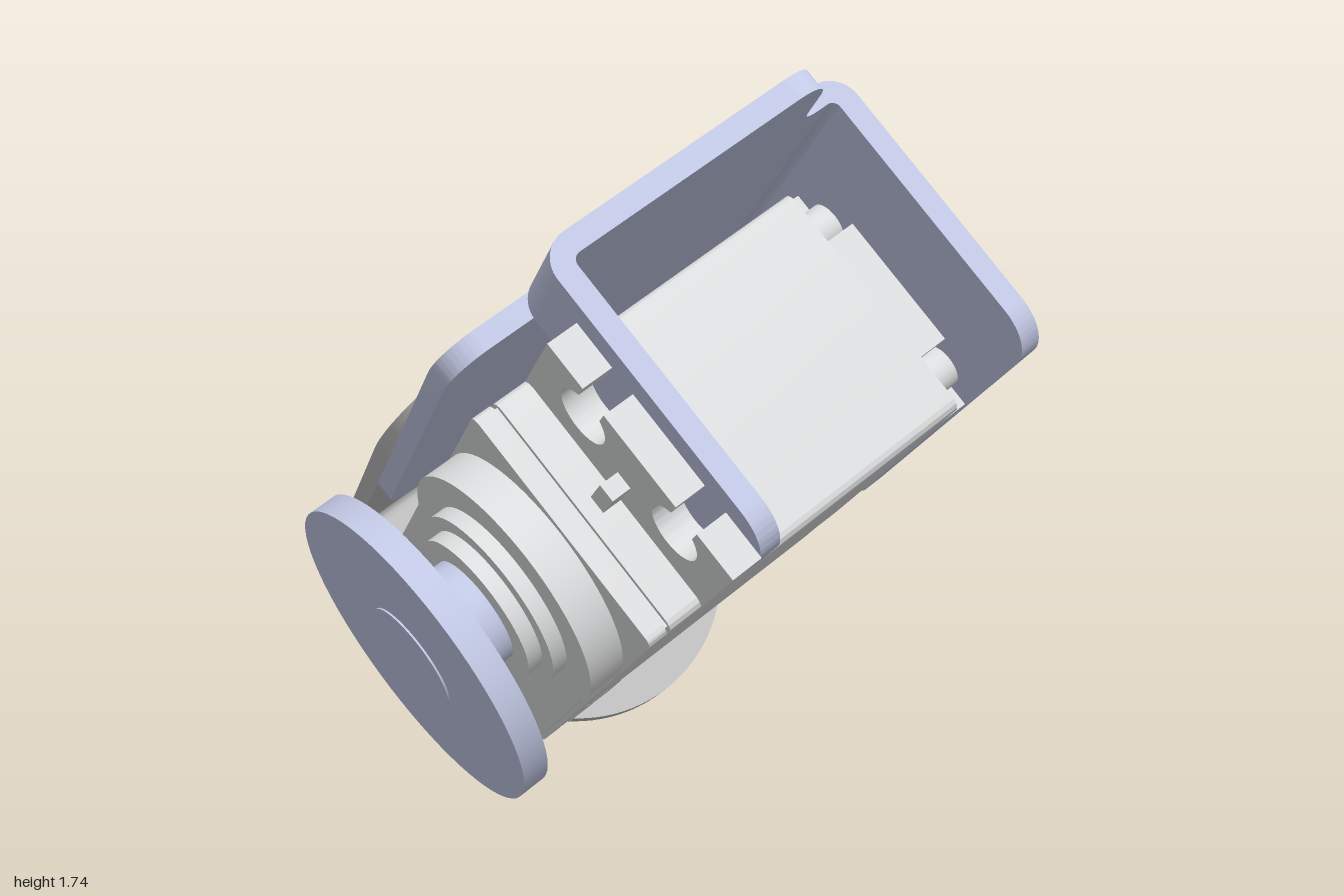
import * as THREE from 'three';
import { toCreasedNormals } from 'three/addons/utils/BufferGeometryUtils.js';

const mat = (name, color) => Object.assign(new THREE.MeshStandardMaterial({ color }), { name });

// Polygon from [x, y, cornerRadius] points
function roundedShape(points) {
  const s = new THREE.Shape();
  const n = points.length;
  const v = points.map(p => new THREE.Vector2(p[0], p[1]));
  for (let i = 0; i < n; i++) {
    const p = v[i], r = points[i][2] || 0;
    const toPrev = v[(i + n - 1) % n].clone().sub(p).normalize();
    const toNext = v[(i + 1) % n].clone().sub(p).normalize();
    const at = (d, k) => p.clone().addScaledVector(d, k);
    const a = at(toPrev, r), b = at(toNext, r);
    if (i === 0) s.moveTo(a.x, a.y); else s.lineTo(a.x, a.y);
    if (r) {
      const c = at(toPrev, r * 0.448), d = at(toNext, r * 0.448);
      s.bezierCurveTo(c.x, c.y, d.x, d.y, b.x, b.y);
    }
  }
  s.closePath();
  return s;
}

const rect = (x0, x1, y0, y1, r = 0) =>
  roundedShape([[x0, y0, r], [x1, y0, r], [x1, y1, r], [x0, y1, r]]);

// Quarter ring used for sheet metal bends
function bendShape(cx, cy, start, inner, outer) {
  const s = new THREE.Shape();
  s.absarc(cx, cy, outer, start, start + Math.PI / 2, false);
  s.absarc(cx, cy, inner, start + Math.PI / 2, start, true);
  s.closePath();
  return s;
}

// Sketch planes: X uses (y,z) and grows +x, Y uses (x,z) and grows -y, Z uses (x,y) and grows +z
const X = new THREE.Vector3(1, 0, 0), Y = new THREE.Vector3(0, 1, 0), Z = new THREE.Vector3(0, 0, 1);
const planes = {
  X: new THREE.Matrix4().makeBasis(Y, Z, X),
  Y: new THREE.Matrix4().makeBasis(X, Z, Y.clone().negate()),
  Z: new THREE.Matrix4(),
};

export function createModel() {
  const blue = mat('blueSheetMetal', 0xcad1ee);
  const grey = mat('greyMetal', 0xc0c0c0);
  const white = mat('paleCasing', 0xdfe0e1);
  const device = new THREE.Group();
  device.name = 'tiltedServoAssembly';

  const add = (name, geo, material, parent = device) => {
    const m = new THREE.Mesh(geo, material);
    m.name = name;
    parent.add(m);
    return m;
  };
  const plate = (name, shape, plane, start, depth, material, parent) => {
    let g = new THREE.ExtrudeGeometry(shape, { depth, bevelEnabled: false, curveSegments: 24 });
    g.applyMatrix4(planes[plane]);
    const n = { X: X, Y: Y, Z: Z }[plane];
    g.translate(n.x * start, n.y * start, n.z * start);
    return add(name, toCreasedNormals(g, 0.5), material, parent);
  };
  const disc = (name, axis, r, from, to, u, v, material) => {
    const g = new THREE.CylinderGeometry(r, r, to - from, 64);
    const mid = (from + to) / 2;
    if (axis === 'X') g.rotateZ(Math.PI / 2).translate(mid, u, v);
    else g.rotateX(Math.PI / 2).translate(u, v, mid);
    return add(name, g, material);
  };
  const box = (name, x0, x1, y0, y1, z0, z1, material, parent) =>
    add(name, new THREE.BoxGeometry(x1 - x0, y1 - y0, z1 - z0)
      .translate((x0 + x1) / 2, (y0 + y1) / 2, (z0 + z1) / 2), material, parent);

  // Servo casing
  const y0 = 0.25, y1 = 0.817, z0 = -0.09, z1 = 1.055, cy = 0.533, cz = 0.483;
  plate('casing', rect(y0, y1, z0, z1, 0.025), 'X', -0.035, 0.785, white);
  plate('casingSeam', rect(y0 + 0.012, y1 - 0.012, z0 + 0.012, z1 - 0.012), 'X', -0.05, 0.02, white);
  plate('casingLid', rect(y0, y1, z0, z1, 0.02), 'X', -0.09, 0.045, white);

  // Casing bottom with relieved corners for the screws
  const ny = 0.13, nz = 0.115;
  plate('casingBottom', roundedShape([
    [y0 + ny, z0], [y1 - ny, z0], [y1 - ny, z0 + nz, 0.04], [y1, z0 + nz], [y1, z1 - nz], [y1 - ny, z1 - nz, 0.04],
    [y1 - ny, z1], [y0 + ny, z1], [y0 + ny, z1 - nz, 0.04], [y0, z1 - nz], [y0, z0 + nz], [y0 + ny, z0 + nz, 0.04],
  ]), 'X', 0.75, 0.07, white);
  for (const sy of [-1, 1]) for (const sz of [-1, 1]) {
    const u = cy + sy * 0.19, v = cz + sz * 0.513;
    disc('screwHead', 'X', 0.048, 0.75, 0.805, u, v, white);
    box('screwSlot', 0.8, 0.809, u - 0.03, u + 0.03, v - 0.007, v + 0.007, grey);
    box('screwSlot', 0.8, 0.809, u - 0.007, u + 0.007, v - 0.03, v + 0.03, grey);
  }

  // Mounting ears with open screw slots, one at each end
  for (const turn of [0, Math.PI]) {
    const ear = new THREE.Group();
    ear.name = 'mountingEar';
    ear.position.set(0, cy, cz);
    ear.rotation.x = turn;
    device.add(ear);
    const s = new THREE.Shape();
    const h = 0.283, end = 0.795, holeZ = 0.7, r = 0.065, g = 0.032, t = Math.acos(g / r);
    s.moveTo(-h, 0.56);
    s.lineTo(h, 0.56);
    s.lineTo(h, end);
    for (const c of [0.142, -0.142]) {
      s.lineTo(c + g, end);
      s.absarc(c, holeZ, r, t, Math.PI - t, true);
      s.lineTo(c - g, end);
    }
    s.lineTo(-h, end);
    s.closePath();
    plate('ear', s, 'X', 0.045, 0.073, white, ear);
    box('earRib', 0.0, 0.05, -0.02, 0.02, 0.56, 0.66, white, ear);
  }

  // Gear housing, output shaft and horn
  const shaftZ = 0.76;
  plate('gearHousing', roundedShape([[y0 + 0.01, 0.03, 0.05], [y1 - 0.01, 0.03, 0.05],
    [y1 - 0.01, shaftZ + 0.273, 0.273], [y0 + 0.01, shaftZ + 0.273, 0.273]]), 'X', -0.14, 0.06, white);
  disc('shaftBoss', 'X', 0.28, -0.175, -0.08, cy, shaftZ, white);
  disc('shaftCollar', 'X', 0.205, -0.21, -0.17, cy, shaftZ, white);
  disc('shaftRing', 'X', 0.17, -0.245, -0.2, cy, shaftZ, white);
  disc('hornHub', 'X', 0.12, -0.412, -0.22, cy, shaftZ, blue);
  disc('hornDisc', 'X', 0.354, -0.408, -0.348, cy, shaftZ, blue);

  // Folded servo bracket: base sheet
  plate('bracketBase', roundedShape([
    [0.19, 1.335], [0.85, 1.335, 0.1], [0.85, 1.1, 0.05], [0.925, 1.1], [0.925, -0.13], [0.85, -0.13, 0.05],
    [0.85, -0.365, 0.1], [0.19, -0.365], [0.19, -0.13], [0.245, -0.13], [0.245, -0.04], [-0.06, -0.04, 0.1],
    [-0.06, 1.01, 0.1], [0.245, 1.01], [0.245, 1.1], [0.19, 1.1],
  ]), 'Y', 0.965, 0.05, blue);
  // Wide flange
  plate('wideFlangeBend', bendShape(0.925, 0.895, 0, 0.02, 0.07), 'Z', -0.13, 1.23, blue);
  plate('wideFlange', roundedShape([[0.895, -0.13], [0.895, 1.1], [0.25, 1.1, 0.1], [0.25, -0.13, 0.1]]),
    'X', 0.945, 0.05, blue);
  // Two narrow flanges behind the ears
  for (const [a, b, ra, rb] of [[1.1, 1.335, 0.02, 0.09], [-0.365, -0.13, 0.09, 0.02]]) {
    plate('earFlangeBend', bendShape(0.19, 0.895, Math.PI / 2, 0.02, 0.07), 'Z', a, b - a, blue);
    plate('earFlange', roundedShape([[0.895, a], [0.895, b], [0.25, b, rb], [0.25, a, ra]]), 'X', 0.12, 0.05, blue);
  }

  // Grey angle bracket with round ends
  const gx0 = -0.06, gx1 = 0.718, gr = 0.389, gc = 0.329, hornY = 0.555;
  plate('angleTop', roundedShape([[gx0, -0.38], [gx1, -0.38], [gx1, 0.61, gr], [gx0, 0.61, gr]]),
    'Y', 1.01, 0.045, grey);
  plate('angleBend', bendShape(0.94, -0.38, -Math.PI / 2, 0.025, 0.07), 'X', gx0, gx1 - gx0, grey);
  plate('angleBack', roundedShape([[gx0, 0.94], [gx1, 0.94], [gx1, hornY - gr, gr], [gx0, hornY - gr, gr]]),
    'Z', -0.45, 0.045, grey);

  // Second horn on the angle bracket
  disc('rearHornDisc', 'Z', 0.354, -0.515, -0.45, gc, hornY, blue);
  disc('rearHornHub', 'Z', 0.125, -0.6, -0.51, gc, hornY, blue);

  // Tilt the assembly, then stand it on the ground and centre it
  const w = new THREE.Vector3(0.086, 0.5, 0.862).normalize();
  const a = new THREE.Vector3(0.822, 0.4538, -0.3452).normalize();
  const c = w.clone().cross(a).normalize();
  device.quaternion.setFromRotationMatrix(new THREE.Matrix4().makeBasis(c.clone().cross(w), c, w));
  const group = new THREE.Group();
  group.name = 'servoWithBrackets';
  group.add(device);
  group.updateMatrixWorld(true);
  const bounds = new THREE.Box3().setFromObject(group, true);
  const mid = bounds.getCenter(new THREE.Vector3());
  device.position.set(-mid.x, -bounds.min.y, -mid.z);
  return group;
}
